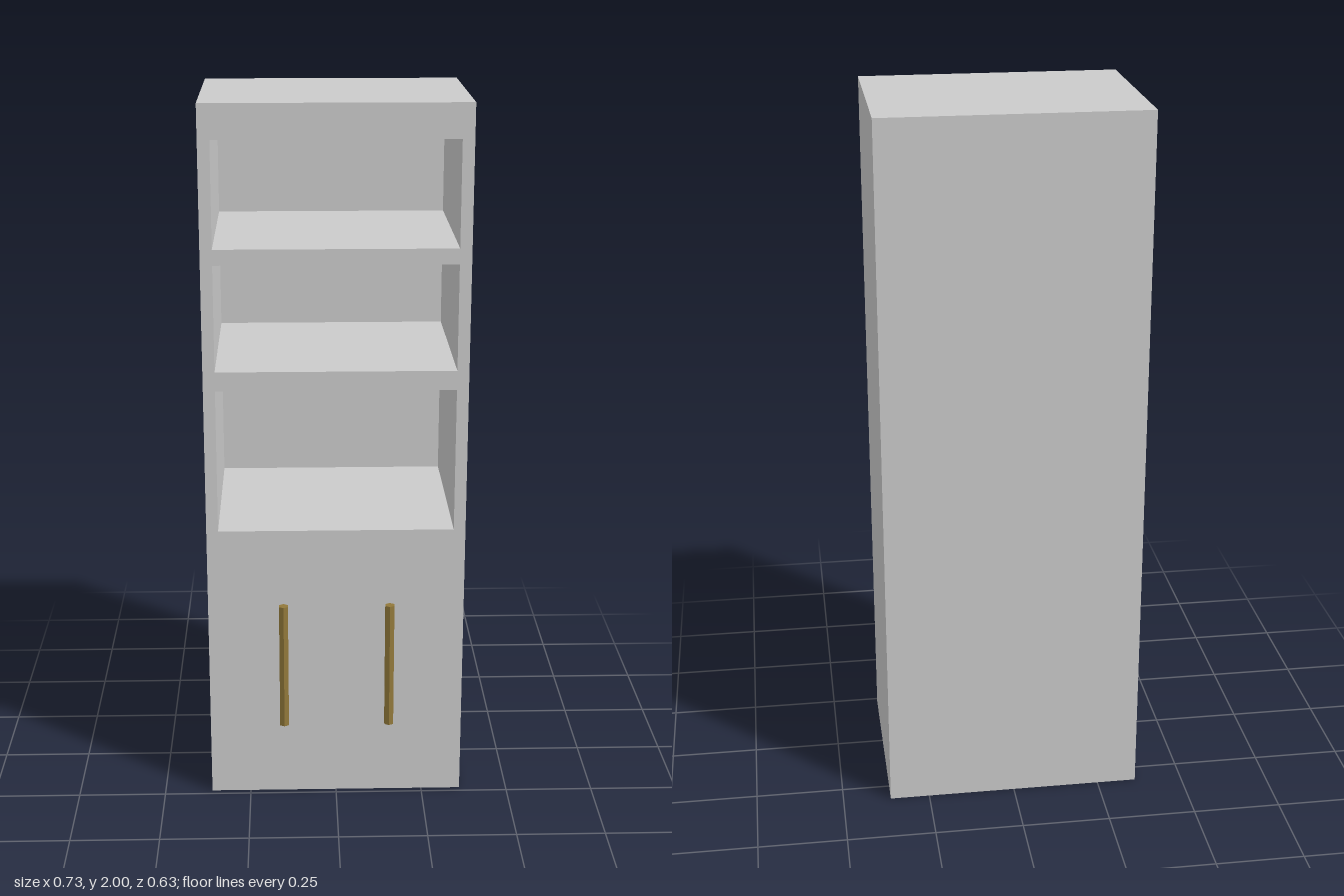
import * as THREE from 'three';

const grey = new THREE.MeshStandardMaterial({ color: 0xcccccc, flatShading: true });
const brass = new THREE.MeshStandardMaterial({ color: 0x91783a, flatShading: true });

const HALF_W = 0.363, FRONT = 0.232, BACK = -0.315, BACK_T = 0.008;
const DOOR_TOP = 0.775, DOOR_T = 0.02;

function add(parent, name, geometry, material, x = 0, y = 0, z = 0) {
  const mesh = new THREE.Mesh(geometry, material);
  mesh.name = name;
  mesh.position.set(x, y, z);
  parent.add(mesh);
  return mesh;
}

function rect(target, x0, y0, x1, y1) {
  target.moveTo(x0, y0);
  target.lineTo(x1, y0);
  target.lineTo(x1, y1);
  target.lineTo(x0, y1);
  target.closePath();
  return target;
}

export function createModel() {
  const model = new THREE.Group();
  model.name = 'cabinet';

  // Upper case with three open shelf bays
  const outline = rect(new THREE.Shape(), -HALF_W, DOOR_TOP, HALF_W, 2);
  for (const [y0, y1] of [[0.815, 1.223], [1.277, 1.572], [1.615, 1.905]]) {
    outline.holes.push(rect(new THREE.Path(), -0.33, y0, 0.33, y1));
  }
  const caseDepth = FRONT - BACK - BACK_T;
  add(model, 'shelfCase', new THREE.ExtrudeGeometry(outline, { depth: caseDepth, bevelEnabled: false }),
    grey, 0, 0, BACK + BACK_T);

  // Thin back panel
  add(model, 'backPanel', new THREE.BoxGeometry(HALF_W * 2, 2, BACK_T), grey, 0, 1, BACK + BACK_T / 2);

  // Closed lower cupboard
  const lowerDepth = caseDepth - DOOR_T;
  add(model, 'lowerCupboard', new THREE.BoxGeometry(HALF_W * 2, DOOR_TOP, lowerDepth),
    grey, 0, DOOR_TOP / 2, BACK + BACK_T + lowerDepth / 2);

  // Flush doors, each with a bar handle on two posts
  for (const [side, label] of [[1, 'left'], [-1, 'right']]) {
    add(model, label + 'Door', new THREE.BoxGeometry(HALF_W, DOOR_TOP, DOOR_T),
      grey, side * HALF_W / 2, DOOR_TOP / 2, FRONT - DOOR_T / 2);

    const handle = new THREE.Group();
    handle.name = label + 'Handle';
    handle.position.set(side * 0.149, 0, 0.298);
    add(handle, 'bar', new THREE.CylinderGeometry(0.0145, 0.0145, 0.367, 6), brass, 0, 0.432, 0);
    const postLength = 0.298 - FRONT + 0.004;
    for (const y of [0.343, 0.523]) {
      const post = add(handle, 'post', new THREE.CylinderGeometry(0.006, 0.006, postLength, 6),
        brass, 0, y, -postLength / 2);
      post.rotation.x = Math.PI / 2;
    }
    model.add(handle);
  }

  return model;
}
